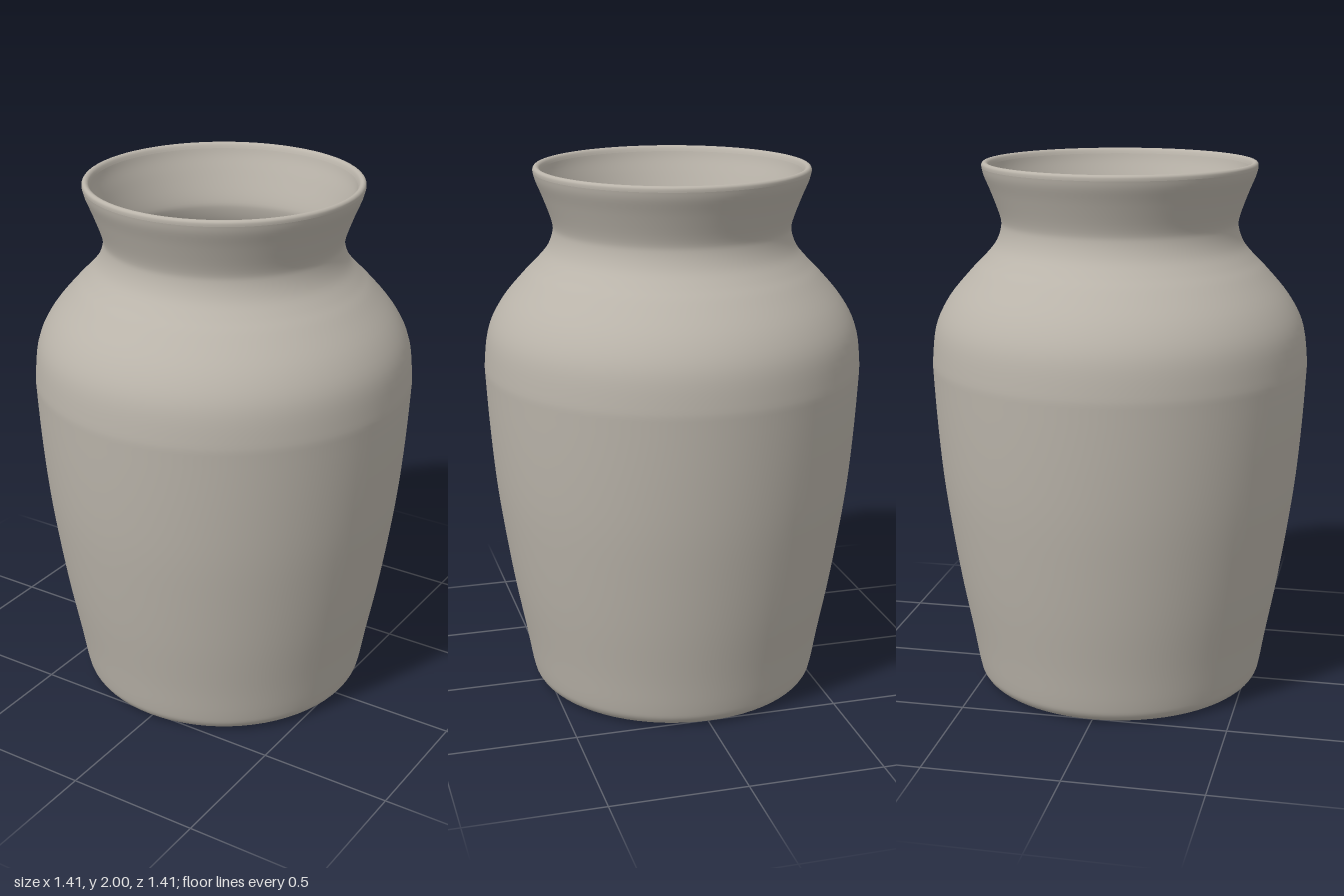
import * as THREE from 'three';

// Smooth curve through [radius, height] points
function smooth(points, divisions) {
  const curve = new THREE.SplineCurve(points.map(([r, y]) => new THREE.Vector2(r, y)));
  return curve.getPoints(divisions).map((p) => new THREE.Vector2(Math.max(p.x, 0), Math.max(p.y, 0)));
}

export function createModel() {
  const group = new THREE.Group();
  group.name = 'vase';
  const clay = new THREE.MeshStandardMaterial({ color: 0xbab4aa });
  clay.name = 'warm grey clay';

  const addLathe = (name, profile) => {
    const mesh = new THREE.Mesh(new THREE.LatheGeometry(profile, 72), clay);
    mesh.name = name;
    group.add(mesh);
  };

  // Underside with a shallow recess
  addLathe('foot', smooth([
    [0, 0.025], [0.15, 0.025], [0.29, 0.025], [0.335, 0.02], [0.375, 0.006], [0.42, 0], [0.48, 0],
  ], 24));

  // Outer wall: rounded base, swelling body, shoulder, neck and flared lip
  addLathe('outerWall', smooth([
    [0.48, 0], [0.515, 0.006], [0.54, 0.03], [0.553, 0.075], [0.575, 0.2], [0.613, 0.4],
    [0.645, 0.6], [0.672, 0.8], [0.69, 1.0], [0.702, 1.2], [0.703, 1.28], [0.686, 1.4],
    [0.636, 1.5], [0.552, 1.6], [0.503, 1.65], [0.462, 1.7], [0.441, 1.755], [0.443, 1.8],
    [0.475, 1.89], [0.5, 1.95], [0.508, 1.98],
  ], 90));

  // Rounded rim
  addLathe('rim', smooth([
    [0.508, 1.98], [0.508, 1.992], [0.502, 1.999], [0.494, 2.0], [0.485, 1.994], [0.479, 1.98],
  ], 12));

  // Inner wall running down into the floor
  addLathe('innerWall', smooth([
    [0.479, 1.98], [0.47, 1.95], [0.446, 1.89], [0.414, 1.8], [0.411, 1.755], [0.433, 1.69],
    [0.48, 1.63], [0.53, 1.58], [0.61, 1.485], [0.656, 1.39], [0.672, 1.28], [0.671, 1.2],
    [0.66, 1.0], [0.642, 0.8], [0.615, 0.6], [0.583, 0.4], [0.545, 0.2], [0.525, 0.1],
    [0.5, 0.068], [0.46, 0.06], [0.25, 0.06], [0, 0.06],
  ], 90));

  return group;
}
